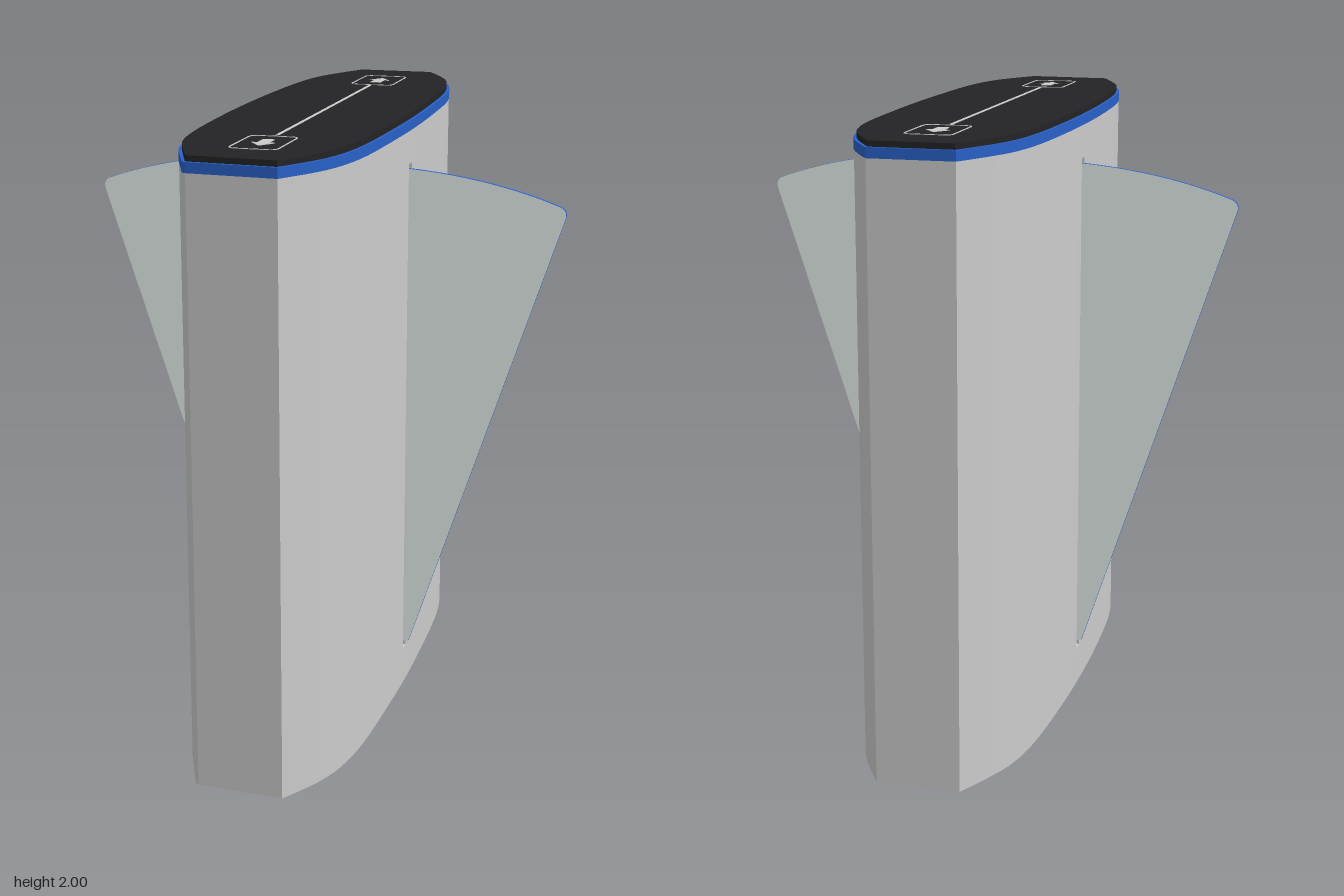
import * as THREE from 'three';
import { toCreasedNormals } from 'three/addons/utils/BufferGeometryUtils.js';

const material = (color) => new THREE.MeshStandardMaterial({ color });
const grey = material(0xcccccc), blue = material(0x2860c8), black = material(0x232325);
const glass = material(0xe6f0ec), white = material(0xf0f0f0);

const SLOT = { z0: 0.07, z1: 0.03, floor: 0.235, bottom: 0.13, top: 1.84 };

// One long side of the plan outline, running from front to back, for the +x half
function sidePoints(frontX, frontZ, backX, width, notched) {
  const curve = new THREE.SplineCurve([
    [frontX, frontZ], [0.205, 0.85], [0.25, 0.73], [0.278, 0.55], [width - 0.004, 0.25], [width, 0],
    [width - 0.004, -0.25], [0.278, -0.55], [0.25, -0.73], [0.205, -0.85], [backX, -0.98],
  ].map(([x, z]) => new THREE.Vector2(x, z)));
  const pts = curve.getPoints(40).filter((p) => p.y > SLOT.z0 + 0.01 || p.y < SLOT.z1 - 0.01);
  const at = pts.findIndex((p) => p.y < SLOT.z1);
  const lip = [new THREE.Vector2(width, SLOT.z0), new THREE.Vector2(width, SLOT.z1)];
  if (notched) {
    lip.splice(1, 0, new THREE.Vector2(SLOT.floor, SLOT.z0), new THREE.Vector2(SLOT.floor, SLOT.z1));
  }
  pts.splice(at, 0, ...lip);
  return pts;
}

// Closed plan outline; the second side is the first turned half way round
function outline(notched, sx = 1, sz = 1) {
  const right = sidePoints(0.13, 0.975, 0.13, 0.295, notched);
  const left = sidePoints(0.14, 0.98, 0.15, 0.298, notched);
  left[left.length - 1].y = -0.962;
  left.forEach((p) => p.negate());
  return new THREE.Shape([...right, ...left].map((p) => new THREE.Vector2(p.x * sx, -p.y * sz)));
}

// Extrude a plan shape upwards from y0 to y1
function slab(name, shape, y0, y1, mat) {
  const geo = new THREE.ExtrudeGeometry(shape, { depth: y1 - y0, bevelEnabled: false, curveSegments: 6 });
  geo.rotateX(-Math.PI / 2).translate(0, y0, 0);
  const mesh = new THREE.Mesh(toCreasedNormals(geo, 0.4), mat);
  mesh.name = name;
  return mesh;
}

function roundedRect(target, w, h, r, cy) {
  const x = w / 2, y0 = cy - h / 2, y1 = cy + h / 2, q = Math.PI / 2;
  target.absarc(x - r, y1 - r, r, 0, q);
  target.absarc(-x + r, y1 - r, r, q, 2 * q);
  target.absarc(-x + r, y0 + r, r, 2 * q, 3 * q);
  target.absarc(x - r, y0 + r, r, 3 * q, 4 * q);
  target.closePath();
  return target;
}

// Fan-shaped barrier wing with a coloured edge
function barrierWing() {
  const s = new THREE.Shape();
  s.moveTo(0.24, 0.155);
  s.lineTo(0.31, 0.155);
  s.lineTo(0.808, 1.685);
  s.quadraticCurveTo(0.815, 1.71, 0.79, 1.722);
  s.quadraticCurveTo(0.55, 1.81, 0.24, 1.825);
  s.closePath();
  const geo = new THREE.ExtrudeGeometry(s, { depth: 0.014, bevelEnabled: false, curveSegments: 16 });
  geo.translate(0, 0, 0.04);
  const mesh = new THREE.Mesh(toCreasedNormals(geo, 0.4), [glass, blue]);
  mesh.name = 'barrierWing';
  return mesh;
}

// Direction arrow inside a thin rounded frame, towards the back end
function directionSign() {
  const g = new THREE.Group();
  g.name = 'directionSign';
  const frame = roundedRect(new THREE.Shape(), 0.154, 0.236, 0.025, 0.692);
  frame.holes.push(roundedRect(new THREE.Path(), 0.146, 0.228, 0.021, 0.692));
  const arrow = new THREE.Shape([
    [-0.018, 0.637], [0.018, 0.637], [0.018, 0.695], [0.037, 0.695],
    [0, 0.747], [-0.037, 0.695], [-0.018, 0.695],
  ].map(([x, y]) => new THREE.Vector2(x, y)));
  g.add(slab('signFrame', frame, 1.996, 2, white), slab('signArrow', arrow, 1.996, 2, white));
  return g;
}

export function createModel() {
  const model = new THREE.Group();
  model.name = 'turnstile';

  // Cabinet in three tiers, the middle one recessed for the wing slots
  const cabinet = new THREE.Group();
  cabinet.name = 'cabinet';
  cabinet.add(
    slab('cabinetBase', outline(false), 0, SLOT.bottom, grey),
    slab('cabinetMiddle', outline(true), SLOT.bottom, SLOT.top, grey),
    slab('cabinetUpper', outline(false), SLOT.top, 1.948, grey),
  );
  model.add(cabinet);

  // Lid: blue band and black top plate
  model.add(slab('blueBand', outline(false, 1.004, 1.001), 1.948, 1.98, blue));
  model.add(slab('topPlate', outline(false, 0.97, 0.99), 1.98, 1.998, black));

  // Centre line on the lid
  const line = new THREE.Mesh(new THREE.BoxGeometry(0.01, 0.004, 1.11), white);
  line.name = 'centreLine';
  line.position.y = 1.998;
  model.add(line);

  // Wing and sign, repeated by a half turn
  for (const turn of [0, Math.PI]) {
    const half = new THREE.Group();
    half.name = turn ? 'rightHalf' : 'leftHalf';
    half.rotation.y = turn;
    half.add(barrierWing(), directionSign());
    model.add(half);
  }
  return model;
}
